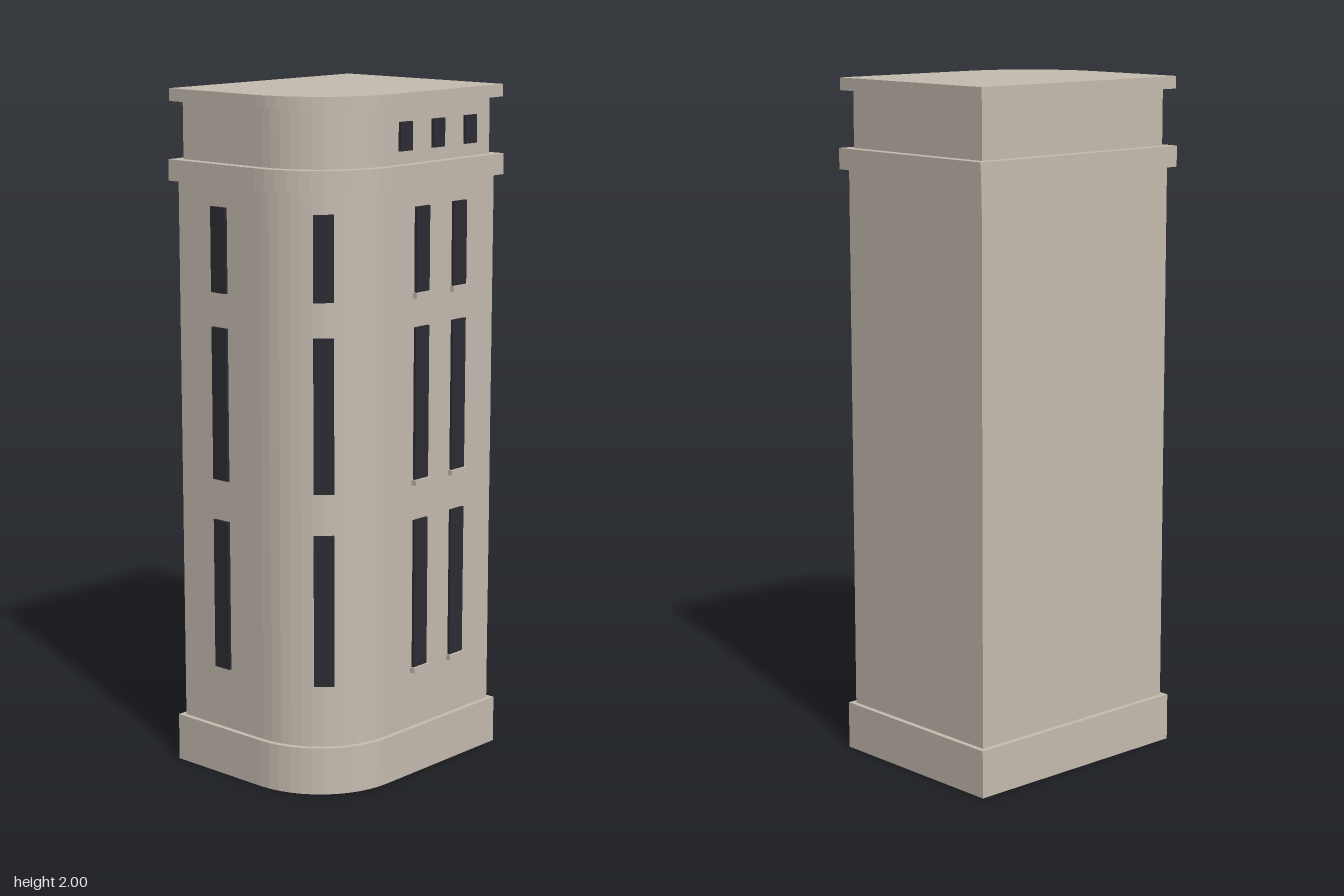
import * as THREE from 'three';

const stone = new THREE.MeshStandardMaterial({ color: 0xc6bcb0 });
stone.name = 'stone';
const glass = new THREE.MeshStandardMaterial({ color: 0x2b2b33 });
glass.name = 'darkGlass';

// Rectangular floor plan with one rounded corner at -x, +z, raised from y0 to y1
function tier(name, hx, hz, radius, y0, y1) {
  const plan = new THREE.Shape();
  plan.moveTo(hx, hz);
  plan.lineTo(-hx, hz);
  plan.lineTo(-hx, radius - hz);
  plan.absarc(radius - hx, radius - hz, radius, Math.PI, Math.PI * 1.5, false);
  plan.lineTo(hx, -hz);
  plan.closePath();
  const geometry = new THREE.ExtrudeGeometry(plan, { depth: y1 - y0, bevelEnabled: false, curveSegments: 6 });
  geometry.rotateX(-Math.PI / 2);
  const mesh = new THREE.Mesh(geometry, stone);
  mesh.name = name;
  mesh.position.y = y0;
  return mesh;
}

// Upright slab between y0 and y1, turned about y
function slab(name, material, width, depth, x, y0, y1, z, turn = 0) {
  const mesh = new THREE.Mesh(new THREE.BoxGeometry(width, y1 - y0, depth), material);
  mesh.name = name;
  mesh.position.set(x, (y0 + y1) / 2, z);
  mesh.rotation.y = turn;
  return mesh;
}

export function createModel() {
  const tower = new THREE.Group();
  tower.name = 'tower';

  // Stacked masonry
  tower.add(
    tier('plinth', 0.378, 0.299, 0.26, 0, 0.14),
    tier('shaft', 0.3625, 0.283, 0.245, 0.14, 1.739),
    tier('beltCourse', 0.383, 0.302, 0.265, 1.739, 1.8),
    tier('attic', 0.352, 0.2725, 0.235, 1.8, 1.964),
    tier('roofCap', 0.378, 0.3, 0.26, 1.964, 2)
  );

  // Three storeys of tall windows on the front, rounded corner and side
  const corner = 0.247 * Math.SQRT1_2;
  for (const [y0, y1] of [[0.323, 0.768], [0.889, 1.334], [1.434, 1.678]]) {
    for (const x of [0.039, 0.203]) {
      tower.add(slab('frontWindow', glass, 0.058, 0.009, x, y0, y1, 0.2865));
      tower.add(slab('windowSill', stone, 0.07, 0.018, x, y0 - 0.016, y0, 0.29));
    }
    tower.add(slab('cornerWindow', glass, 0.058, 0.009, -0.1175 - corner, y0, y1, 0.038 + corner, -Math.PI / 4));
    tower.add(slab('sideWindow', glass, 0.058, 0.009, -0.366, y0, y1, -0.12, -Math.PI / 2));
  }

  // Small attic windows, standing clear of the wall
  for (const x of [-0.04, 0.1, 0.242]) {
    tower.add(slab('atticWindow', glass, 0.05, 0.009, x, 1.839, 1.92, 0.291));
  }
  return tower;
}
